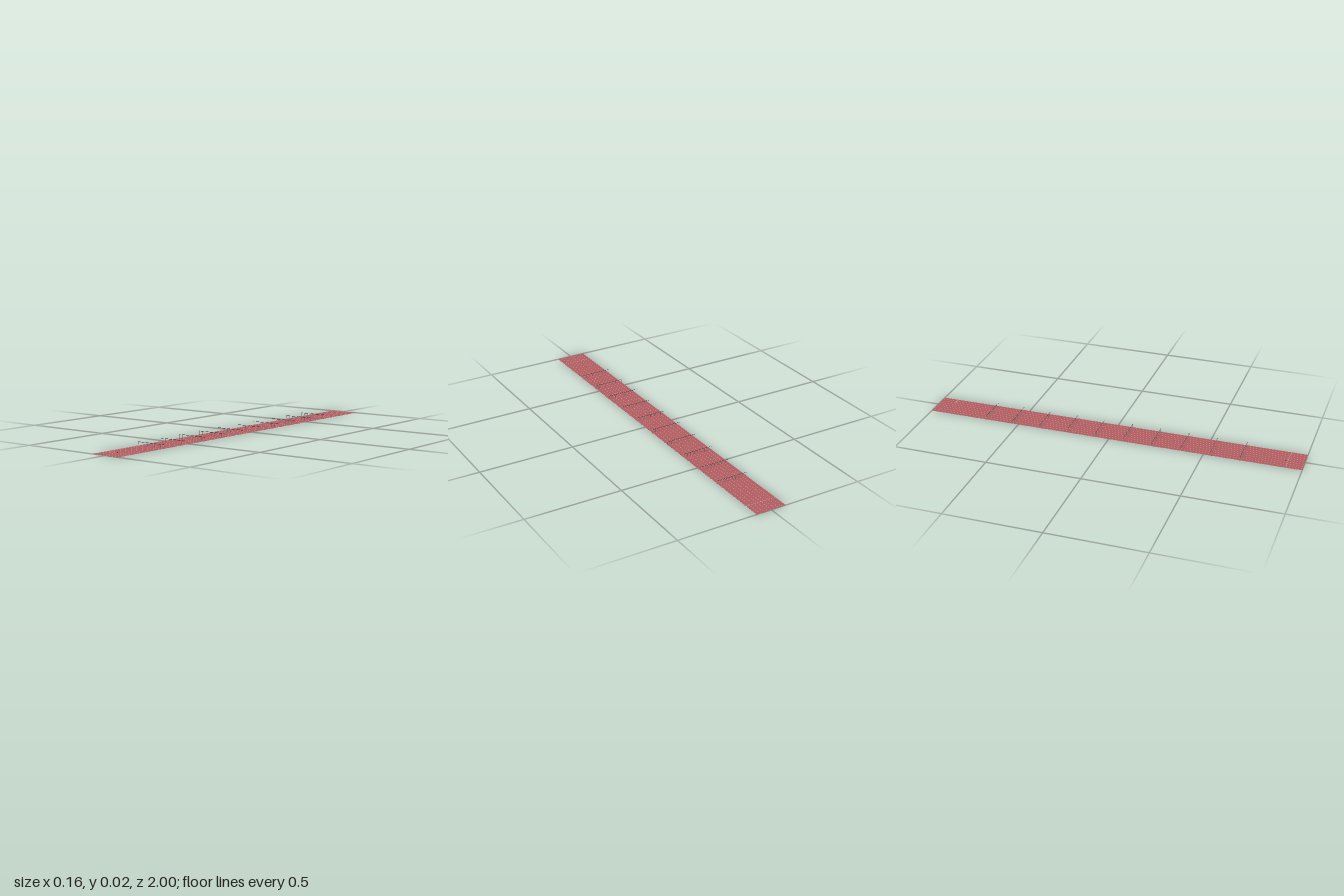
import * as THREE from 'three';

const LANES = 8;
const LANE_W = 0.0203;
const WIDTH = LANES * LANE_W;
const DECK = 0.0003;

const mat = (color) => new THREE.MeshStandardMaterial({ color });
const red = mat(0xb45c60);
const white = mat(0xeeeeee);
const dark = mat(0x3a3a3a);
const grey = mat(0x808080);

function box(parent, name, size, pos, material) {
  const mesh = new THREE.Mesh(new THREE.BoxGeometry(...size), material);
  mesh.position.set(...pos);
  mesh.name = name;
  parent.add(mesh);
  return mesh;
}

// One hurdle: top board, two uprights, two feet pointing at the approaching runner
function makeHurdle() {
  const hurdle = new THREE.Group();
  const half = 0.0098;
  box(hurdle, 'topBoard', [0.02, 0.0016, 0.0005], [0, 0.019, 0], dark);
  for (const s of [-1, 1]) {
    box(hurdle, 'upright', [0.0005, 0.0185, 0.0006], [s * half, 0.00955, 0], grey);
    box(hurdle, 'foot', [0.0005, 0.0005, 0.0115], [s * half, DECK + 0.00025, 0.0055], grey);
  }
  return hurdle;
}

// Starting block: centre rail with two sloping foot pads
function makeStartingBlock() {
  const block = new THREE.Group();
  block.name = 'startingBlock';
  box(block, 'rail', [0.0008, 0.0006, 0.012], [0, 0.0006, 0], dark);
  for (const s of [-1, 1]) {
    const pad = box(block, 'footPad', [0.0016, 0.0035, 0.0006], [s * 0.0012, 0.002, s * 0.0025], dark);
    pad.rotation.x = 0.6;
  }
  return block;
}

export function createModel() {
  const model = new THREE.Group();
  model.name = 'hurdlesTrack';

  // Running surface
  box(model, 'trackSurface', [WIDTH, DECK, 2], [0, DECK / 2, 0], red);

  // Lane lines and the two cross lines
  const lineH = 0.0001;
  for (let i = 0; i <= LANES; i++) {
    const x = THREE.MathUtils.clamp((i - LANES / 2) * LANE_W, -WIDTH / 2 + 0.0004, WIDTH / 2 - 0.0004);
    box(model, 'laneLine', [0.0008, lineH, 2], [x, DECK + lineH / 2, 0], white);
  }
  for (const z of [-0.917, 0.917]) {
    box(model, 'crossLine', [WIDTH, lineH, 0.0012], [0, DECK + lineH, z], white);
  }

  // Ten rows of hurdles, one per lane
  const prototype = makeHurdle();
  for (let row = 0; row < 10; row++) {
    const hurdles = new THREE.Group();
    hurdles.name = 'hurdleRow';
    hurdles.position.z = 0.688 - row * 0.1523;
    for (let lane = 0; lane < LANES; lane++) {
      const hurdle = prototype.clone();
      hurdle.name = 'hurdle';
      hurdle.position.x = (lane - (LANES - 1) / 2) * LANE_W;
      hurdles.add(hurdle);
    }
    model.add(hurdles);
  }

  const block = makeStartingBlock();
  block.position.set(-LANE_W / 2, 0, 0.907);
  model.add(block);

  return model;
}
